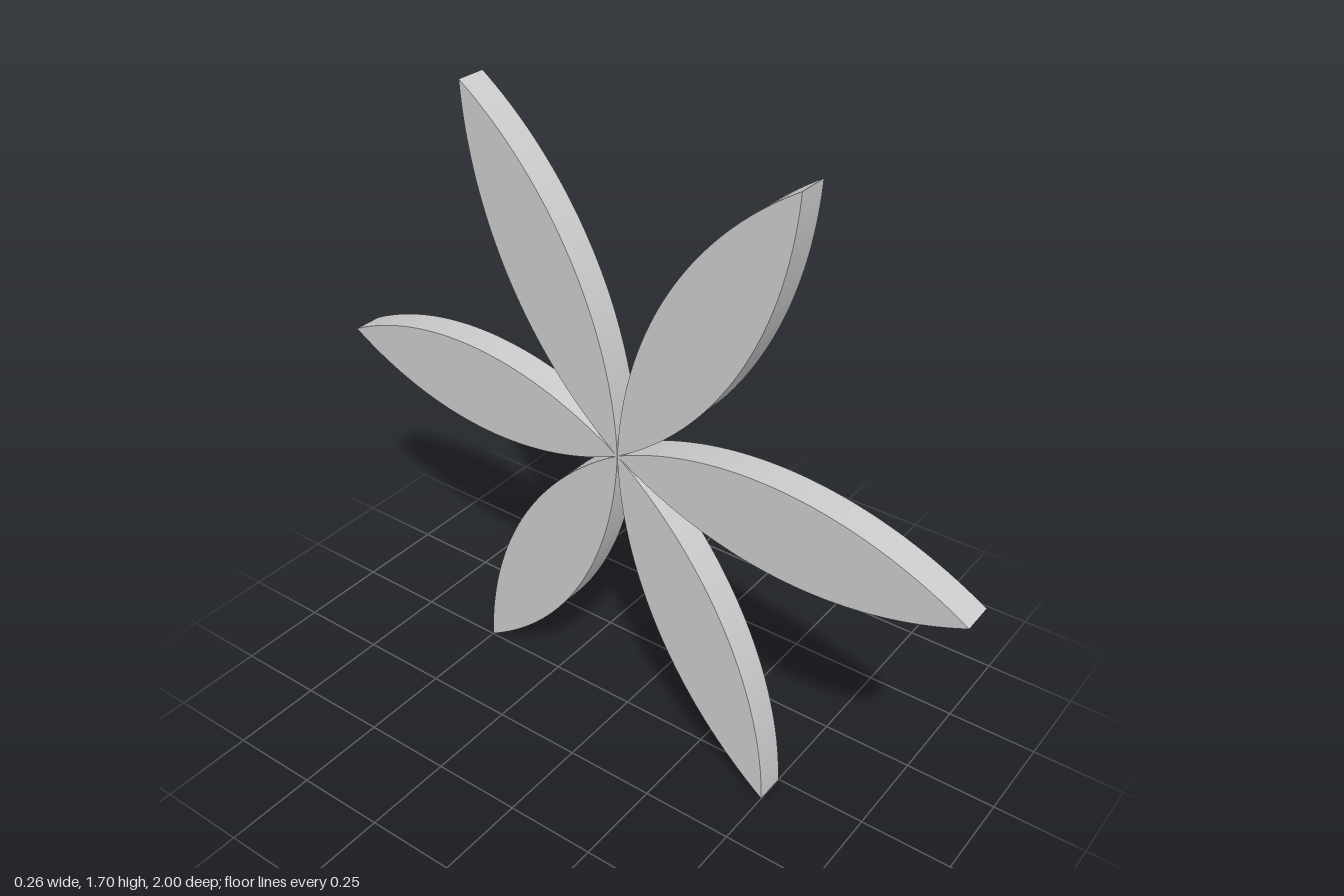
import * as THREE from 'three';

const THICK = 0.085; // plate thickness along x
const HALF_WIDTH = 0.1225; // half width of a petal at its middle
const CENTRE_Y = 0.85;
const SLANT = -0.0875; // sideways drift of x along z

// Lens made of two equal arcs, from the origin to (length, 0)
function petalShape(length) {
  const h = length / 2;
  const r = (h * h + HALF_WIDTH * HALF_WIDTH) / (2 * HALF_WIDTH);
  const a = Math.asin(h / r);
  const up = Math.PI / 2;
  const shape = new THREE.Shape();
  shape.absarc(h, HALF_WIDTH - r, r, up + a, up - a, true);
  shape.absarc(h, r - HALF_WIDTH, r, -up + a, -up - a, true);
  return shape;
}

export function createModel() {
  const group = new THREE.Group();
  group.name = 'flower';
  const material = new THREE.MeshStandardMaterial({ color: 0xcccccc });
  const slant = new THREE.Matrix4().set(
    1, 0, SLANT, 0,
    0, 1, 0, 0,
    0, 0, 1, 0,
    0, 0, 0, 1
  );

  // Petal tips in the plate's own plane
  const tips = [[1, 0], [0.5, 0.85], [-0.5, 0.85], [-1, 0], [-0.5, -0.85], [0.5, -0.85]];
  tips.forEach(([u, v], i) => {
    const geometry = new THREE.ExtrudeGeometry(petalShape(Math.hypot(u, v)), {
      depth: THICK, bevelEnabled: false, curveSegments: 24,
    });
    geometry.translate(0, 0, -THICK / 2);
    geometry.rotateZ(Math.atan2(v, u));
    geometry.rotateY(Math.PI / 2); // stand the plate in the y-z plane
    geometry.applyMatrix4(slant);
    geometry.translate(0, CENTRE_Y, 0);
    geometry.computeVertexNormals();
    const petal = new THREE.Mesh(geometry, material);
    petal.name = `petal${i + 1}`;
    group.add(petal);
  });
  return group;
}
